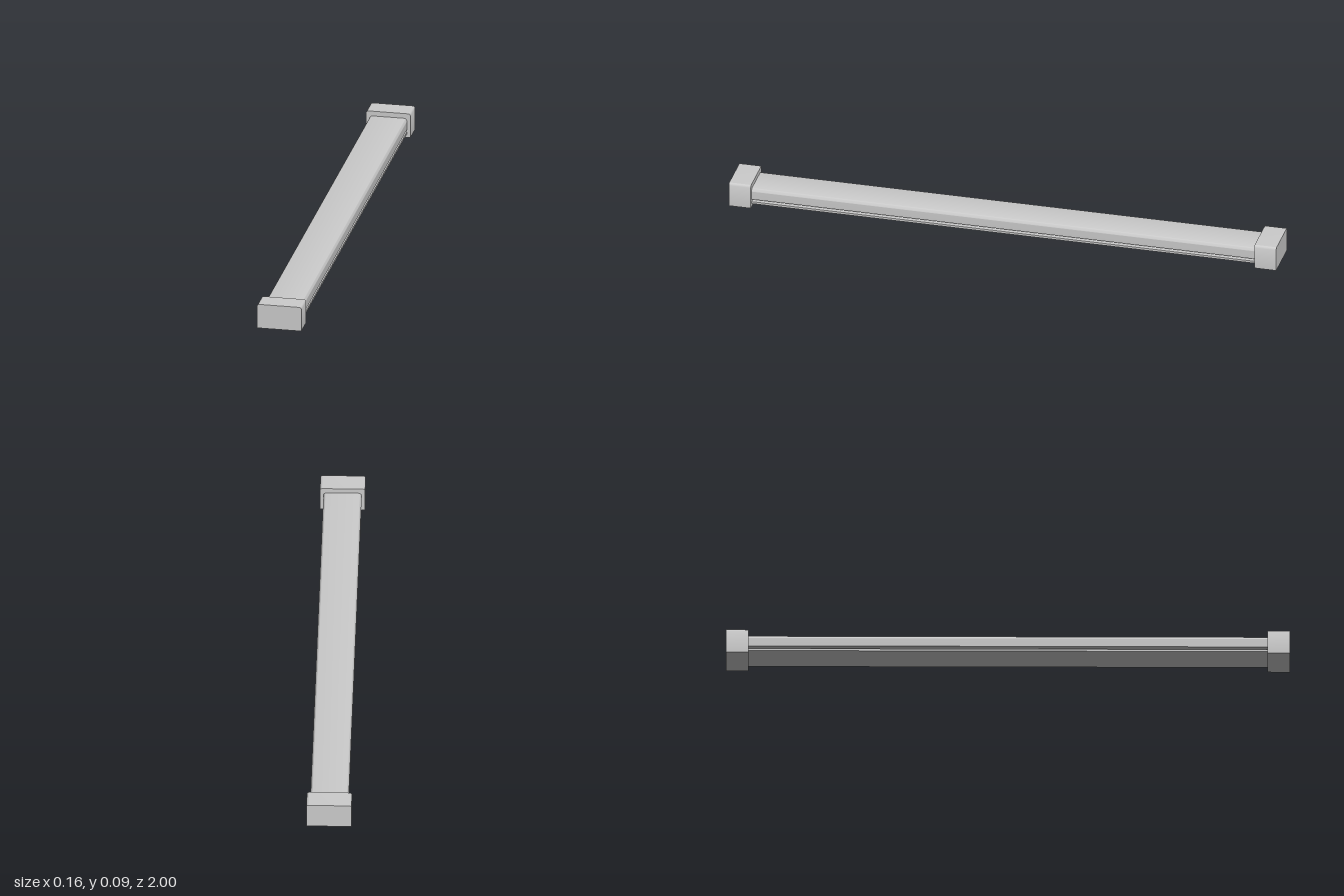
import * as THREE from 'three';
import { toCreasedNormals } from 'three/addons/utils/BufferGeometryUtils.js';

const material = new THREE.MeshStandardMaterial({ color: 0xcccccc });

// Bar along z whose cross-section has square lower and rounded upper corners
function bar(name, halfWidth, bottom, top, radius, length, z) {
  const s = new THREE.Shape();
  s.moveTo(-halfWidth, bottom);
  s.lineTo(halfWidth, bottom);
  s.lineTo(halfWidth, top - radius);
  s.absarc(halfWidth - radius, top - radius, radius, 0, Math.PI / 2, false);
  s.lineTo(-halfWidth + radius, top);
  s.absarc(-halfWidth + radius, top - radius, radius, Math.PI / 2, Math.PI, false);
  s.closePath();
  const geometry = new THREE.ExtrudeGeometry(s, { depth: length, bevelEnabled: false, curveSegments: 8 });
  geometry.translate(0, 0, -length / 2);
  const mesh = new THREE.Mesh(toCreasedNormals(geometry, 0.6), material);
  mesh.name = name;
  mesh.position.z = z;
  return mesh;
}

export function createModel() {
  const group = new THREE.Group();
  group.name = 'lightBar';

  // Long housing between the caps
  group.add(bar('housing', 0.068, 0.03, 0.072, 0.012, 1.86, 0));

  // Thin plate held below the housing with a narrow gap
  const plate = new THREE.Mesh(new THREE.BoxGeometry(0.134, 0.008, 1.86), material);
  plate.name = 'lowerPlate';
  plate.position.y = 0.016;
  group.add(plate);

  // Matching end caps
  for (const side of [1, -1]) {
    group.add(bar(side > 0 ? 'frontCap' : 'backCap', 0.08, 0, 0.09, 0.008, 0.08, side * 0.96));
  }
  return group;
}
